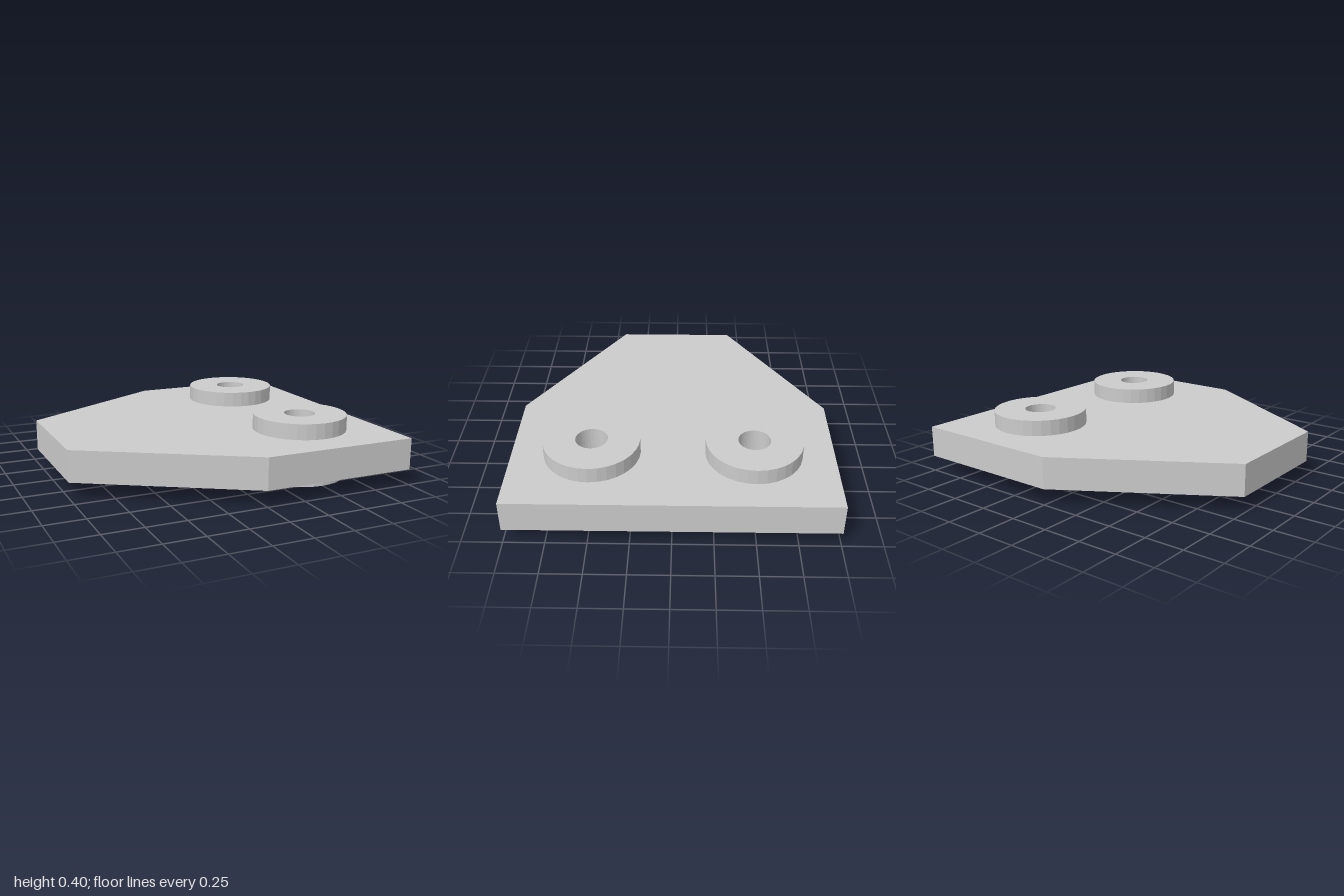
import * as THREE from 'three';

const SIDES = 32, BORE = 0.1, COLLAR = 0.3;

export function createModel() {
  const group = new THREE.Group();
  const material = new THREE.MeshStandardMaterial({ color: 0xcccccc, flatShading: true });
  const add = (name, geometry, z = 0, x = 0) => {
    const mesh = new THREE.Mesh(geometry, material);
    mesh.name = name;
    mesh.position.set(x, 0, z);
    group.add(mesh);
  };

  // Tapered plate with two bolt holes
  const outline = new THREE.Shape([
    [-1, -0.39], [0, -1], [1, -1], [1, 1], [0, 1], [-1, 0.39],
  ].map(([x, y]) => new THREE.Vector2(x, y)));
  for (const y of [-0.5, 0.5]) {
    outline.holes.push(new THREE.Path().absarc(0.5, y, BORE, 0, Math.PI * 2, true));
  }
  const plate = new THREE.ExtrudeGeometry(outline, {
    depth: 0.2, bevelEnabled: false, curveSegments: SIDES / 2,
  });
  plate.rotateX(-Math.PI / 2).translate(0, 0.1, 0);
  add('plate', plate);

  // Raised collars around each hole, above and below the plate
  const collar = (points) => new THREE.LatheGeometry(
    points.map(([r, y]) => new THREE.Vector2(r, y)), SIDES);
  const upper = collar([[COLLAR, 0.3], [COLLAR, 0.4], [BORE, 0.4], [BORE, 0.3]]);
  const lower = collar([[BORE, 0.1], [BORE, 0], [COLLAR, 0], [COLLAR, 0.1]]);
  for (const [side, z] of [['front', 0.5], ['back', -0.5]]) {
    add(side + 'UpperCollar', upper, z, 0.5);
    add(side + 'LowerCollar', lower, z, 0.5);
  }
  return group;
}
